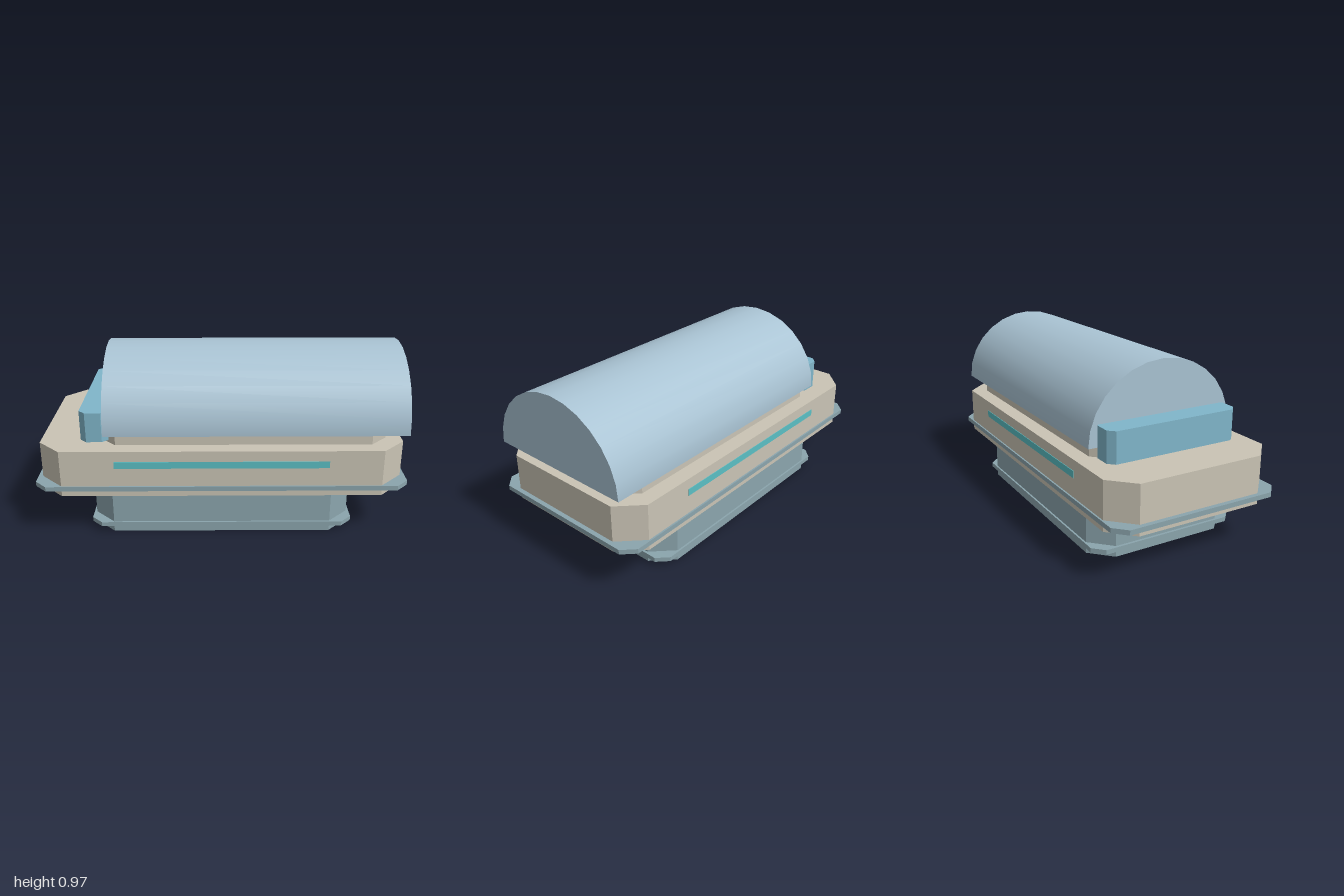
import * as THREE from 'three';

const mat = (name, color) => {
  const m = new THREE.MeshStandardMaterial({ color });
  m.name = name;
  return m;
};

// Upright block with its four vertical corners cut off
function chamferedBlock(name, material, [x0, x1], [y0, y1], z, c) {
  const outline = [
    [x0 + c, -z], [x1 - c, -z], [x1, -z + c], [x1, z - c],
    [x1 - c, z], [x0 + c, z], [x0, z - c], [x0, -z + c],
  ].map(([a, b]) => new THREE.Vector2(a, b));
  const geo = new THREE.ExtrudeGeometry(new THREE.Shape(outline), { depth: y1 - y0, bevelEnabled: false });
  geo.rotateX(-Math.PI / 2).translate(0, y0, 0);
  const mesh = new THREE.Mesh(geo, material);
  mesh.name = name;
  return mesh;
}

// Half-round roof lying along x, closed underneath
function vaultRoof(material, [x0, x1], [y0, y1], z) {
  const roof = new THREE.Group();
  roof.name = 'vaultRoof';
  const length = x1 - x0;
  const shell = new THREE.CylinderGeometry(z, z, length, 14, 1, false, 0, Math.PI);
  shell.rotateZ(Math.PI / 2).scale(1, (y1 - y0) / z, 1);
  const vault = new THREE.Mesh(shell, material);
  vault.name = 'vault';
  const underside = new THREE.Mesh(new THREE.PlaneGeometry(length, 2 * z).rotateX(Math.PI / 2), material);
  underside.name = 'vaultUnderside';
  roof.add(vault, underside);
  roof.position.set((x0 + x1) / 2, y0, 0);
  return roof;
}

export function createModel() {
  const stone = mat('warm beige', 0xcac4b5);
  const slate = mat('slate blue', 0x8ba5ad);
  const sky = mat('pale blue', 0xa9c3d3);
  const glass = mat('blue panel', 0x80b6ca);
  const teal = mat('teal stripe', 0x5bbfc4);

  const model = new THREE.Group();
  model.name = 'vaultedBuilding';

  model.add(
    // Lower storey and its trim
    chamferedBlock('base', slate, [-0.703, 0.703], [0, 0.247], 0.42, 0.11),
    chamferedBlock('baseTrim', slate, [-0.717, 0.717], [0.035, 0.06], 0.43, 0.058),
    // Wide main body and its ledge
    chamferedBlock('body', stone, [-0.975, 0.975], [0.247, 0.507], 0.472, 0.122),
    chamferedBlock('bodyLedge', slate, [-1, 1], [0.28, 0.306], 0.481, 0.064),
    // Plinth carrying the roof
    chamferedBlock('roofPlinth', stone, [-0.655, 0.89], [0.507, 0.57], 0.387, 0.088),
    vaultRoof(sky, [-0.627, 0.99], [0.57, 0.967], 0.423),
    // Low block at the end of the roof
    chamferedBlock('endBlock', glass, [-0.755, -0.603], [0.52, 0.686], 0.378, 0.034),
  );

  // Long stripes on the front and back walls
  for (const side of [1, -1]) {
    const stripe = new THREE.Mesh(new THREE.BoxGeometry(1.135, 0.038, 0.008), teal);
    stripe.name = side > 0 ? 'frontStripe' : 'backStripe';
    stripe.position.set(0, 0.429, side * 0.471);
    model.add(stripe);
  }
  return model;
}
